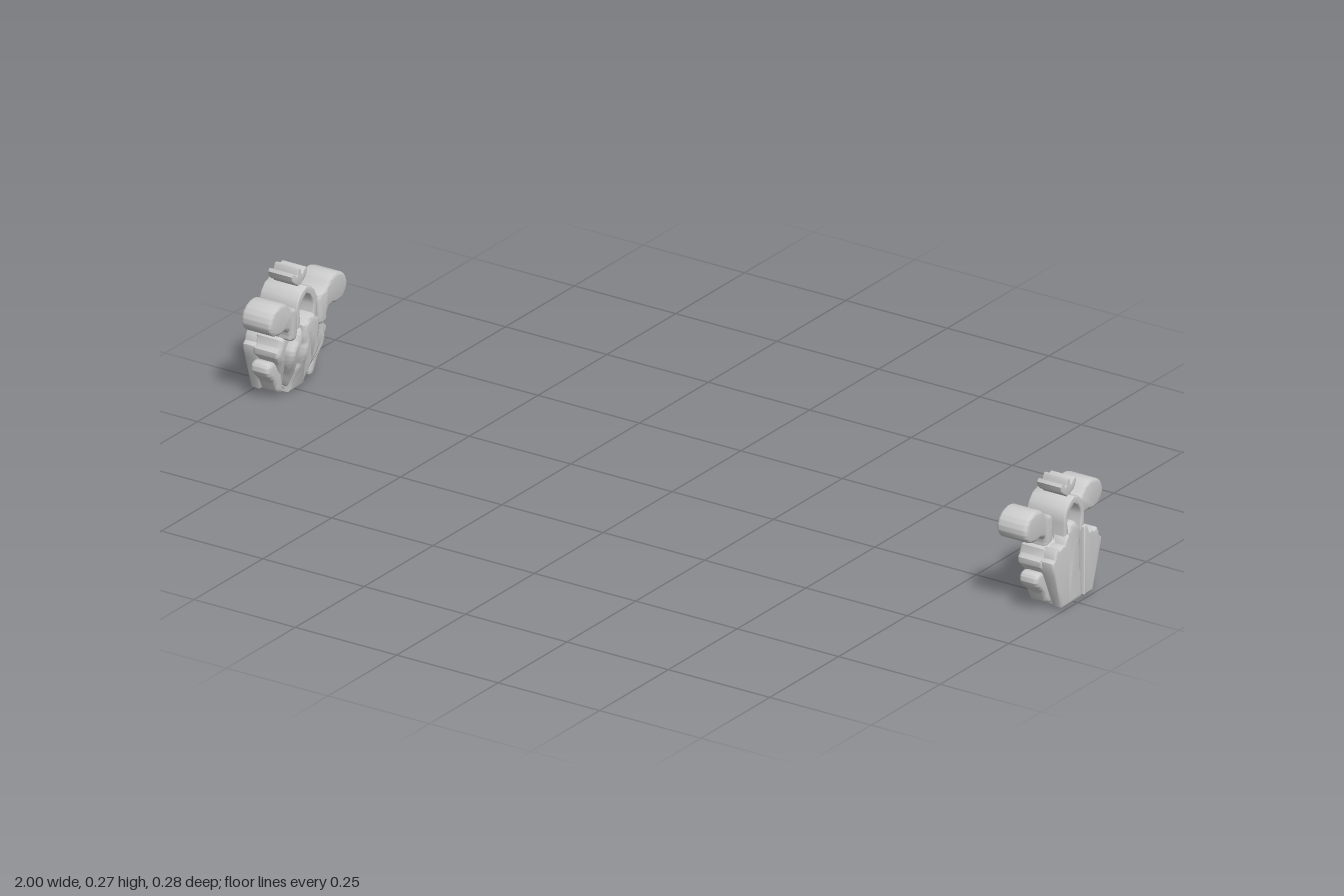
import * as THREE from 'three';
import { toCreasedNormals } from 'three/addons/utils/BufferGeometryUtils.js';

const material = new THREE.MeshStandardMaterial({ color: 0xcccccc });
const vec = (pts) => pts.map(([z, y]) => new THREE.Vector2(z, y));
const mirror = (pts) => pts.map(([z, y]) => [-z, y]).reverse();

// Right half of an outline (bottom to top) completed into a symmetric one
const whole = (half) => [...half, ...mirror(half)];

// Smooth closed outline through a few points
function smooth(pts, n = 60) {
  const c = new THREE.CatmullRomCurve3(pts.map(([z, y]) => new THREE.Vector3(z, y, 0)), true);
  return c.getPoints(n).slice(0, -1).map((p) => [p.x, p.y]);
}

// Extrudes a z-y outline from x = inner to x = outer with rounded rims;
// an optional rule then reshapes the vertices
function slab(name, pts, inner, outer, bevel = 0.004, rule = null, steps = 1) {
  const g = new THREE.ExtrudeGeometry(new THREE.Shape(vec(pts)), {
    depth: outer - inner - 2 * bevel, steps, bevelEnabled: true,
    bevelThickness: bevel, bevelSize: bevel, bevelOffset: -bevel, bevelSegments: 3,
  });
  g.rotateY(-Math.PI / 2);
  g.translate(outer - bevel, 0, 0);
  if (rule) {
    const p = g.attributes.position;
    for (let i = 0; i < p.count; i++) {
      const [x, y, z] = rule(p.getX(i), p.getY(i), p.getZ(i));
      p.setXYZ(i, x, y, z);
    }
  }
  const mesh = new THREE.Mesh(toCreasedNormals(g, 0.7), material);
  mesh.name = name;
  return mesh;
}

// Depth narrows toward the foot, measured from the outer face
const taper = (x, y, z) => {
  const s = 0.66 + 0.34 * THREE.MathUtils.smoothstep(y, 0, 0.11);
  return [1 - (1 - x) * s, y, z];
};

function createOrnament() {
  const g = new THREE.Group();

  // Half outlines, as [z, y]
  const plate = [[0.026, 0.008], [0.056, 0.008], [0.07, 0.05], [0.081, 0.085], [0.088, 0.106],
    [0.088, 0.116], [0.08, 0.122], [0.078, 0.134], [0.072, 0.142], [0.062, 0.139], [0.052, 0.144],
    [0.044, 0.143], [0.039, 0.155], [0.03, 0.162], [0.026, 0.158]];
  const claw = smooth([[0.05, 0.012], [0.062, 0.013], [0.08, 0.042], [0.1, 0.062], [0.105, 0.074],
    [0.098, 0.087], [0.084, 0.089], [0.07, 0.08], [0.055, 0.06]]);
  const curl = smooth([[0.045, 0.135], [0.066, 0.138], [0.069, 0.155], [0.08, 0.166], [0.105, 0.164],
    [0.13, 0.172], [0.141, 0.193], [0.132, 0.217], [0.105, 0.23], [0.082, 0.226], [0.062, 0.208],
    [0.042, 0.2], [0.038, 0.17]], 90);
  const arch = [[0.022, 0.15], [0.036, 0.15], [0.036, 0.185], [0.038, 0.2], [0.03, 0.216],
    [0.018, 0.229], [0, 0.235], [0, 0.22], [0.012, 0.212], [0.021, 0.2], [0.026, 0.186], [0.023, 0.17]];
  const both = [['left', (p) => p], ['right', mirror]];

  for (const [side, flip] of both) {
    g.add(slab(side + 'OuterPlate', flip(plate), 0.965, 1, 0.004, taper));
    g.add(slab(side + 'LowerClaw', flip(claw), 0.925, 0.97, 0.008));
    g.add(slab(side + 'Curl', flip(curl), 0.895, 0.968, 0.007));
    g.add(slab(side + 'ArchBand', flip(arch), 0.9, 0.993, 0.003));
  }

  // Solid core behind the plates
  const core = whole([[0.05, 0.008], [0.066, 0.05], [0.076, 0.085], [0.09, 0.102], [0.09, 0.114],
    [0.081, 0.122], [0.078, 0.139], [0.062, 0.142], [0.04, 0.15], [0.018, 0.158]]);
  g.add(slab('core', core, 0.91, 0.975, 0.008, taper));

  // Scalloped inner relief
  const relief = whole(smooth([[0, 0.02], [0.03, 0.015], [0.045, 0.05], [0.058, 0.08],
    [0.06, 0.11], [0.045, 0.13], [0.035, 0.15], [0, 0.16]]).filter(([z]) => z > 0.002));
  g.add(slab('innerRelief', relief, 0.893, 0.93, 0.01, taper));

  // Rounded central rib with shallow waists, bulging on its outer face
  const rib = [];
  for (let i = 0; i <= 24; i++) {
    const y = 0.002 + (i / 24) * 0.158;
    rib.push([0.028 - 0.004 * Math.exp(-(((y - 0.07) / 0.008) ** 2))
      - 0.004 * Math.exp(-(((y - 0.12) / 0.008) ** 2)), y]);
  }
  rib.push([0.018, 0.165], [0.012, 0.174], [0.004, 0.177]);
  g.add(slab('centralRib', whole(rib), 0.885, 0.992, 0.01, taper));

  // Rounded foot below the rib
  const foot = whole([[0.008, 0], [0.02, 0.003], [0.032, 0.008], [0.035, 0.018]]);
  g.add(slab('foot', foot, 0.905, 0.985, 0.003, taper));

  // Three-lobed crest
  const crest = whole([[0.003, 0.228], [0.008, 0.236], [0.018, 0.242], [0.026, 0.251], [0.028, 0.26],
    [0.024, 0.266], [0.017, 0.264], [0.01, 0.255], [0.007, 0.257], [0.007, 0.264], [0.003, 0.271]]);
  g.add(slab('crest', crest, 0.918, 0.978, 0.002));

  return g;
}

export function createModel() {
  const model = new THREE.Group();
  model.name = 'ornamentPair';
  // Two facing ornaments at the ends of the x axis
  [['leftOrnament', 0], ['rightOrnament', Math.PI]].forEach(([name, turn]) => {
    const o = createOrnament();
    o.name = name;
    o.rotation.y = turn;
    model.add(o);
  });
  return model;
}
